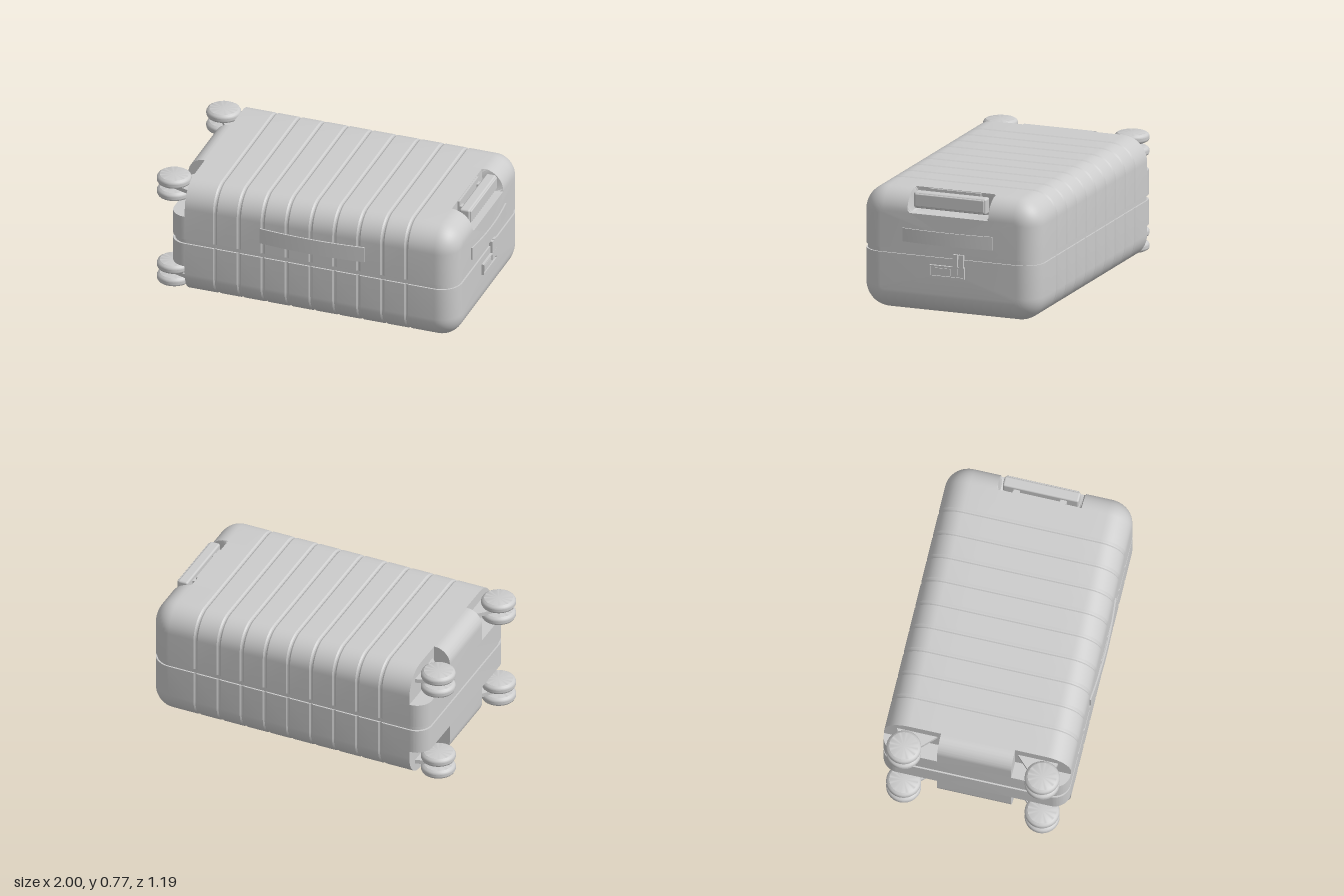
import * as THREE from 'three';
import { toCreasedNormals } from 'three/addons/utils/BufferGeometryUtils.js';
import { RoundedBoxGeometry } from 'three/addons/geometries/RoundedBoxGeometry.js';

const CZ = -0.018, HALF_Z = 0.58, TOP = 0.775, BOTTOM = 0.015, SEAM = 0.41, MID = 0.395;
const BACK_X = -0.77, END_X = -0.875, FRONT_X = 0.972, CORNER = 0.155, FILLET = 0.135;
const material = new THREE.MeshStandardMaterial({ color: 0xcccccc });

function add(parent, name, geometry, x = 0, y = 0, z = 0) {
  const mesh = new THREE.Mesh(geometry, material);
  mesh.name = name;
  mesh.position.set(x, y, z);
  parent.add(mesh);
  return mesh;
}

// Box given by its limits on each axis
function block(parent, name, [x0, x1], [y0, y1], [z0, z1], r = 0) {
  const s = [x1 - x0, y1 - y0, z1 - z0];
  const g = r ? new RoundedBoxGeometry(...s, 3, r) : new THREE.BoxGeometry(...s);
  return add(parent, name, g, (x0 + x1) / 2, (y0 + y1) / 2, (z0 + z1) / 2);
}

function extrude(shape, depth) {
  const g = new THREE.ExtrudeGeometry(shape, { depth, bevelEnabled: false, curveSegments: 12 });
  return toCreasedNormals(g, 0.5);
}

// Plan outline (x, -z) raised from y0 to y1
const planExtrude = (shape, y0, y1) => extrude(shape, y1 - y0).rotateX(-Math.PI / 2).translate(0, y0, 0);

// How deep the handle recess is at a given z: 0 outside, 1 inside
function recessDepth(z) {
  const edge = Math.min(0.25 - z, z + 0.28);
  if (edge <= 0) return 0;
  return edge < 0.02 ? 0.9 * edge / 0.015 : 1;
}

// One ribbed half of the case, lofted along x; the lower half is its mirror image
function shellGeometry(lower) {
  const stations = [{ x: BACK_X, inset: 0 }];
  for (let i = 0; i < 9; i++) {
    const x = -0.575 + i * 0.154;
    for (const [dx, inset] of [[-0.014, 0], [-0.004, 0.006], [0.004, 0.006], [0.014, 0]]) stations.push({ x: x + dx, inset });
  }
  const N = 12;
  for (let i = 0; i <= N; i++) {
    const a = (i / N) * Math.PI / 2;
    stations.push({ x: FRONT_X - FILLET * (1 - Math.sin(a)), inset: FILLET * (1 - Math.cos(a)), t: i / N });
  }
  const topZ = [0.25, 0.235, 0.225, 0.1, -0.1, -0.255, -0.265, -0.28];
  const rings = stations.map(({ x, inset, t }) => {
    const ring = [];
    const corner = (side, a) => ring.push([x,
      TOP - CORNER + (CORNER - inset) * Math.sin(a),
      CZ + side * (HALF_Z - CORNER + (CORNER - inset) * Math.cos(a))]);
    ring.push([x, SEAM, CZ + HALF_Z - inset]);
    for (let i = 0; i <= 10; i++) corner(1, i * Math.PI / 20);
    for (const z of topZ) {
      const f = lower || t === undefined ? 0 : recessDepth(z);
      // The recess follows an L: down its rear wall, then out along its floor
      const lx = FRONT_X - FILLET + FILLET * Math.max(0, 2 * (t ?? 0) - 1);
      const ly = TOP - FILLET * Math.min(1, 2 * (t ?? 0));
      ring.push([x + (lx - x) * f, (TOP - inset) + (ly - TOP + inset) * f, z]);
    }
    for (let i = 10; i >= 0; i--) corner(-1, i * Math.PI / 20);
    ring.push([x, SEAM, CZ - HALF_Z + inset]);
    return ring;
  });
  const positions = [];
  const put = ([x, y, z]) => positions.push(x, lower ? 2 * MID - y : y, z);
  const tri = (a, b, c) => (lower ? [a, c, b] : [a, b, c]).forEach(put);
  const n = rings[0].length, last = rings[rings.length - 1];
  for (let i = 0; i < n; i++) {
    const k = (i + 1) % n;
    for (let j = 0; j < rings.length - 1; j++) {
      const p = rings[j], q = rings[j + 1];
      tri(p[i], q[i], q[k]);
      tri(p[i], q[k], p[k]);
    }
    tri([FRONT_X, 0.5, CZ], last[k], last[i]);
    tri([BACK_X, 0.5, CZ], rings[0][i], rings[0][k]);
  }
  const g = new THREE.BufferGeometry();
  g.setAttribute('position', new THREE.Float32BufferAttribute(positions, 3));
  return toCreasedNormals(g, 0.5);
}

// Outline from x0 to x1 with separate corner radii at both ends
function roundedOutline(x0, x1, y0, y1, r0, r1) {
  const s = new THREE.Shape();
  s.moveTo(x0 + r0, y0);
  s.lineTo(x1 - r1, y0);
  if (r1) s.absarc(x1 - r1, y0 + r1, r1, -Math.PI / 2, 0);
  s.lineTo(x1, y1 - r1);
  if (r1) s.absarc(x1 - r1, y1 - r1, r1, 0, Math.PI / 2);
  s.lineTo(x0 + r0, y1);
  s.absarc(x0 + r0, y1 - r0, r0, Math.PI / 2, Math.PI);
  s.lineTo(x0, y0 + r0);
  s.absarc(x0 + r0, y0 + r0, r0, Math.PI, Math.PI * 1.5);
  return s;
}

// Bowed carrying strap: ends on the shell, middle standing proud
function strapGeometry(half, bow, height) {
  const t = 0.009, s = new THREE.Shape();
  s.moveTo(-half, 0);
  s.quadraticCurveTo(0, 2 * bow, half, 0);
  s.lineTo(half, t);
  s.quadraticCurveTo(0, 2 * bow + t, -half, t);
  return extrude(s, height).rotateX(Math.PI / 2).translate(0, height / 2, 0);
}

// Twin-disc caster with its bracket, in the corner given by the sides
function caster(sideY, sideZ) {
  const g = new THREE.Group();
  g.name = 'caster';
  const x = -0.893, z = CZ + sideZ * 0.43, y = sideY > 0 ? 0.692 : 0.1;
  const profile = [[0, -0.028], [0.085, -0.028], [0.1, -0.02], [0.106, -0.008], [0.106, 0.008], [0.1, 0.02], [0.09, 0.026], [0.088, 0.028], [0, 0.028]];
  const disc = new THREE.LatheGeometry(profile.map(p => new THREE.Vector2(...p)), 40);
  for (const s of [-1, 1]) add(g, 'wheelDisc', toCreasedNormals(disc, 0.7), x, y + s * 0.043, z);
  add(g, 'axle', new THREE.CylinderGeometry(0.03, 0.03, 0.09, 20), x, y, z);
  const arm = new THREE.Shape();
  const pts = [[-0.92, 0.44], [-0.85, 0.33], [BACK_X, 0.25], [BACK_X, 0.5], [-0.89, 0.46]];
  arm.setFromPoints(pts.map(([px, pz]) => new THREE.Vector2(px, -(CZ + sideZ * pz))));
  add(g, 'bracket', planExtrude(arm, y - 0.013, y + 0.013));
  return g;
}

export function createModel() {
  const model = new THREE.Group();
  model.name = 'suitcase';

  // Shell halves and the recessed seam between them
  add(model, 'upperShell', shellGeometry(false));
  add(model, 'lowerShell', shellGeometry(true));
  const inner = roundedOutline(END_X + 0.01, FRONT_X - 0.01, -CZ - HALF_Z + 0.01, -CZ + HALF_Z - 0.01, 0.1, 0.125);
  add(model, 'seamBand', planExtrude(inner, 0.36, 0.43));

  // Wheel end: a cross-shaped block that leaves the four corners open
  const halfOutline = (y0, y1, r0, r1) => {
    const s = new THREE.Shape();
    s.moveTo(BACK_X, y0);
    s.lineTo(BACK_X, y1);
    s.lineTo(END_X + r1, y1);
    if (r1) s.absarc(END_X + r1, y1 - r1, r1, Math.PI / 2, Math.PI);
    s.lineTo(END_X, y0 + r0);
    if (r0) s.absarc(END_X + r0, y0 + r0, r0, Math.PI, Math.PI * 1.5);
    return s;
  };
  const plan = halfOutline(-CZ - HALF_Z, -CZ + HALF_Z, 0.1, 0.1);
  add(model, 'upperEndBand', planExtrude(plan, SEAM, 0.567));
  add(model, 'lowerEndBand', planExtrude(plan, 0.223, 2 * MID - SEAM));
  add(model, 'upperEndRib', extrude(halfOutline(SEAM, TOP, 0, 0.1), 0.46), 0, 0, -0.245);
  add(model, 'lowerEndRib', extrude(halfOutline(BOTTOM, 2 * MID - SEAM, 0.1, 0), 0.46), 0, 0, -0.245);

  // Casters
  for (const sy of [-1, 1]) for (const sz of [-1, 1]) model.add(caster(sy, sz));

  // Pull handle lying in its recess
  const pull = new THREE.Group();
  pull.name = 'pullHandle';
  block(pull, 'gripBar', [0.875, 0.94], [0.665, 0.765], [-0.25, 0.222], 0.012);
  block(pull, 'gripFace', [0.93, 0.948], [0.678, 0.757], [-0.24, 0.212], 0.006);
  block(pull, 'recessPlate', [0.83, 0.85], [0.65, 0.772], [-0.18, 0.15]);
  for (const z of [-0.16, 0.13]) block(pull, 'stem', [0.83, 0.89], [0.69, 0.74], [z - 0.02, z + 0.02]);
  model.add(pull);

  // Carrying straps on the long side and on the end
  add(model, 'sideStrap', strapGeometry(0.336, 0.019, 0.1), 0.053, 0.535, 0.563);
  add(model, 'endStrap', strapGeometry(0.293, 0.019, 0.083), FRONT_X, 0.503, -0.015).rotation.y = Math.PI / 2;

  // Lock: a framed plate with a button and two pull tabs across the seam
  const lock = new THREE.Group();
  lock.name = 'lock';
  const X0 = 0.965;
  block(lock, 'lockPlate', [X0, 0.979], [0.262, 0.334], [-0.128, 0.1]);
  for (const y of [0.262, 0.326]) block(lock, 'lockRim', [X0, 0.988], [y, y + 0.008], [-0.128, 0.1]);
  for (const z of [-0.128, 0.092]) block(lock, 'lockRim', [X0, 0.988], [0.27, 0.326], [z, z + 0.008]);
  block(lock, 'lockButton', [X0, 0.985], [0.276, 0.318], [-0.035, 0.077]);
  for (const z of [-0.12, -0.083]) block(lock, 'lockTab', [X0, 0.987], [0.285, 0.412], [z, z + 0.03]);
  model.add(lock);

  // Small foot under the lower shell
  block(model, 'foot', [0.712, 0.762], [0, 0.03], [-0.457, -0.35], 0.006);
  return model;
}
